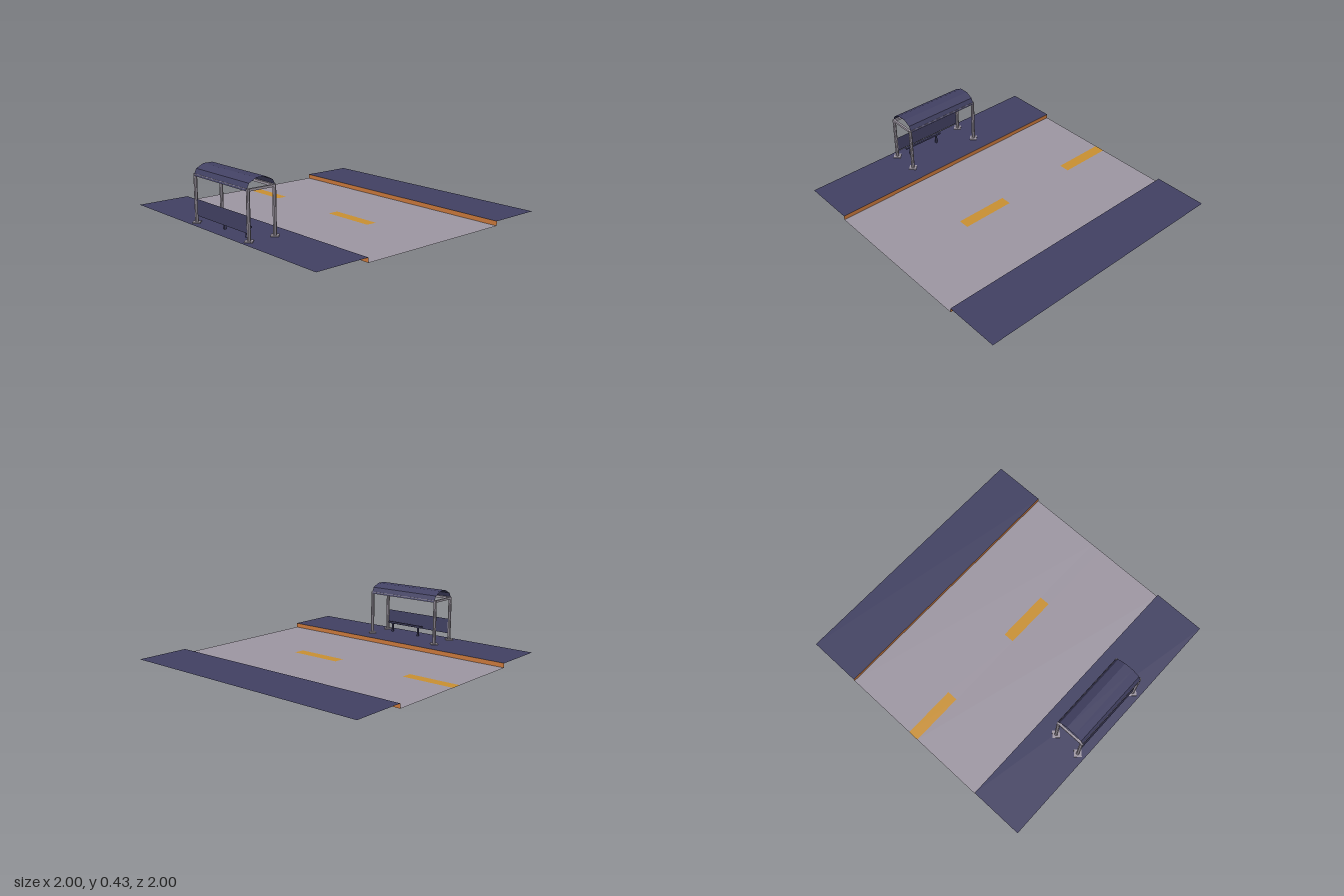
import * as THREE from 'three';

const mat = (name, color, side = THREE.DoubleSide) => {
  const m = new THREE.MeshStandardMaterial({ color, side, flatShading: true });
  m.name = name;
  return m;
};

export function createModel() {
  const navy = mat('navy', 0x424163);
  const grey = mat('grey', 0x9e97a3);
  const yellow = mat('road yellow', 0xca9132);
  const orange = mat('curb orange', 0xcb793c);
  const root = new THREE.Group();
  root.name = 'streetWithShelter';

  const add = (name, geometry, material, x, y, z, parent = root) => {
    const mesh = new THREE.Mesh(geometry, material);
    mesh.name = name;
    mesh.position.set(x, y, z);
    parent.add(mesh);
    return mesh;
  };
  const box = (name, w, h, d, material, x, y, z, parent) =>
    add(name, new THREE.BoxGeometry(w, h, d), material, x, y, z, parent);
  const floor = (name, x0, x1, z0, z1, y, material) =>
    add(name, new THREE.PlaneGeometry(x1 - x0, z1 - z0).rotateX(-Math.PI / 2), material,
      (x0 + x1) / 2, y, (z0 + z1) / 2);

  // Road lanes, raised pavements and curbs
  const walkY = 0.033;
  for (const s of [-1, 1]) {
    floor('lane', s < 0 ? -0.6 : 0.04, s < 0 ? -0.04 : 0.6, -1, 1, 0, grey);
    floor('pavement', s < 0 ? -1 : 0.6, s < 0 ? -0.6 : 1, -1, 1, walkY, navy);
    add('curb', new THREE.PlaneGeometry(2, walkY).rotateY(-s * Math.PI / 2), orange,
      s * 0.6, walkY / 2, 0);
  }

  // Centre strip alternates dashes and asphalt
  const cuts = [-1, -0.6, 0, 0.4, 1];
  for (let i = 0; i < 4; i++) {
    const dash = i % 2 === 0;
    floor(dash ? 'laneDash' : 'centreAsphalt', -0.04, 0.04, cuts[i], cuts[i + 1], 0,
      dash ? yellow : grey);
  }

  // Shelter, with its origin at the centre of its footprint
  const shelter = new THREE.Group();
  shelter.name = 'shelter';
  shelter.position.set(-0.842, 0, -0.013);
  root.add(shelter);
  const hx = 0.101, hz = 0.3, topY = 0.371;

  // Posts on diamond-set feet
  for (const sx of [-1, 1]) {
    for (const sz of [-1, 1]) {
      add('post', new THREE.CylinderGeometry(0.0125, 0.0125, topY - walkY, 8), grey,
        sx * hx, (topY + walkY) / 2, sz * hz, shelter);
      const foot = box('foot', 0.053, 0.008, 0.053, grey, sx * hx, 0.036, sz * hz, shelter);
      foot.rotation.y = Math.PI / 4;
    }
  }

  // Top frame
  for (const s of [-1, 1]) {
    box('sideBeam', 0.016, 0.016, 2 * hz, grey, s * hx, 0.363, 0, shelter);
    box('endBeam', 2 * hx, 0.016, 0.016, grey, 0, 0.363, s * hz, shelter);
  }

  // Open five-sided arched roof sheet
  const roof = new THREE.CylinderGeometry(1, 1, 2 * hz, 5, 1, true, -Math.PI / 2, Math.PI);
  roof.rotateX(-Math.PI / 2);
  roof.scale(0.113, 0.077, 1);
  add('roof', roof, navy, 0, 0.359, 0, shelter);

  // Back panel
  add('backPanel', new THREE.PlaneGeometry(2 * hz - 0.02, 0.115).rotateY(Math.PI / 2), navy,
    -hx, 0.14, 0, shelter);

  // Narrow bench
  const bench = new THREE.Group();
  bench.name = 'bench';
  bench.position.set(-0.892, 0, 0.071);
  root.add(bench);
  box('benchSeat', 0.017, 0.013, 0.333, navy, 0, 0.107, 0, bench);
  for (const s of [-1, 1])
    box('benchLeg', 0.015, 0.068, 0.012, navy, 0, 0.067, s * 0.125, bench);

  // The arch springs from the upward half of the cylinder
  roof.computeBoundingBox();
  if (roof.boundingBox.min.y < -0.01) roof.rotateZ(Math.PI);
  return root;
}
